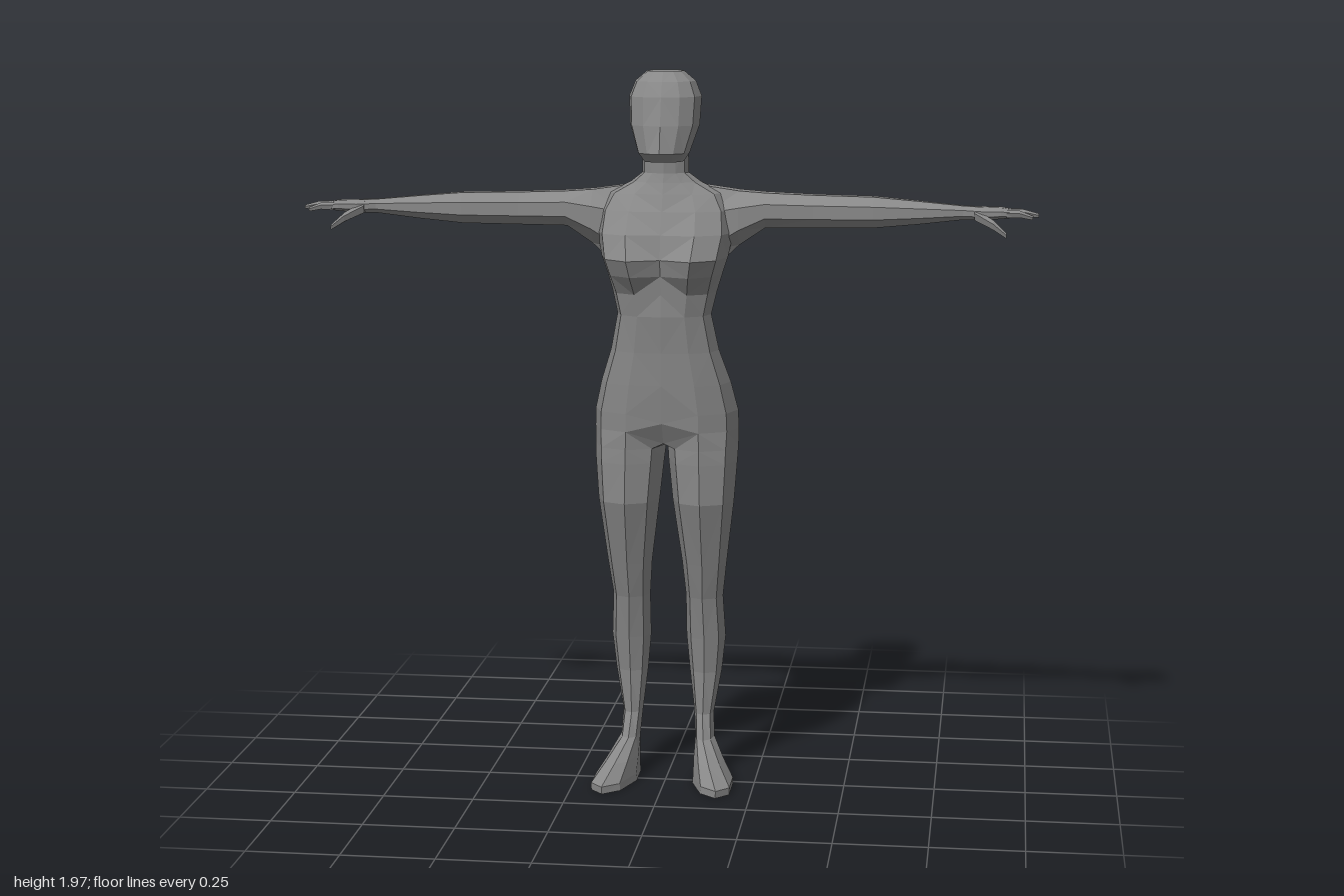
import * as THREE from 'three';

const material = new THREE.MeshStandardMaterial({ color: 0x888888, flatShading: true });

// Skin a list of rings (equal point counts, counter-clockwise about the loft direction)
function loft(name, rings, capStart = true, capEnd = true) {
  const n = rings[0].length, last = rings.length - 1;
  const pos = rings.flat(2), index = [];
  const span = (p, q) => Math.hypot(...[0, 1, 2].map(d => pos[p * 3 + d] - pos[q * 3 + d]));
  for (let i = 0; i < last; i++) for (let j = 0; j < n; j++) {
    const a = i * n + j, b = i * n + (j + 1) % n, c = b + n, d = a + n;
    // split along the shorter diagonal, so both body halves match
    index.push(...(span(a, c) < span(b, d) ? [a, b, c, a, c, d] : [a, b, d, b, c, d]));
  }
  const cap = (r, flip) => {
    const c = pos.length / 3;
    for (let d = 0; d < 3; d++) pos.push(rings[r].reduce((s, p) => s + p[d], 0) / n);
    for (let j = 0; j < n; j++) {
      const p = r * n + j, q = r * n + (j + 1) % n;
      index.push(...(flip ? [q, p, c] : [p, q, c]));
    }
  };
  if (capStart) cap(0, true);
  if (capEnd) cap(last, false);
  const g = new THREE.BufferGeometry();
  g.setAttribute('position', new THREE.Float32BufferAttribute(pos, 3));
  g.setIndex(index);
  g.computeVertexNormals();
  const mesh = new THREE.Mesh(g, material);
  mesh.name = name;
  return mesh;
}

const mirror = rings => rings.map(r => r.map(([x, y, z]) => [-x, y, z]).reverse());

// Left half of a body section, from front centre round to back centre.
// The centre points can hang lower by "drop", as at the crotch.
function half([y, w, frontMid, front, back, backMid, drop = 0]) {
  const m = (frontMid + backMid) / 2;
  return [
    [0, y - drop, frontMid], [0.5 * w, y, front], [0.87 * w, y, m + (front - m) * 0.66], [w, y, m],
    [0.9 * w, y, m + (back - m) * 0.65], [0.52 * w, y, back], [0, y - drop, backMid],
  ];
}
const whole = s => {
  const h = half(s);
  return [...h, ...h.slice(1, 6).reverse().map(([x, y, z]) => [-x, y, z])];
};

// Sections: y, half width, front centre, front bulge, back bulge, back centre, drop
const torso = [
  [1.0, 0.199, 0.05, 0.082, -0.165, -0.125, 0.035],
  [1.05, 0.197, 0.083, 0.085, -0.172, -0.152, 0.025],
  [1.13, 0.178, 0.095, 0.09, -0.14, -0.13],
  [1.22, 0.148, 0.1, 0.095, -0.09, -0.085],
  [1.32, 0.128, 0.112, 0.105, -0.07, -0.065],
  [1.38, 0.142, 0.11, 0.112, -0.085, -0.08],
  [1.43, 0.157, 0.116, 0.152, -0.1, -0.09],
  [1.475, 0.172, 0.128, 0.17, -0.105, -0.095],
  [1.54, 0.185, 0.112, 0.125, -0.11, -0.1],
  [1.6, 0.18, 0.085, 0.082, -0.11, -0.1],
  [1.645, 0.155, 0.065, 0.05, -0.1, -0.09],
  [1.675, 0.095, 0.052, 0.04, -0.08, -0.085],
  [1.7, 0.063, 0.045, 0.036, -0.052, -0.06],
  [1.78, 0.062, 0.047, 0.038, -0.045, -0.05],
];
const head = [
  [1.733, 0.054, 0.098, 0.088, -0.02, -0.025],
  [1.757, 0.07, 0.135, 0.118, -0.055, -0.062],
  [1.83, 0.094, 0.118, 0.104, -0.088, -0.096],
  [1.905, 0.098, 0.097, 0.088, -0.095, -0.102],
  [1.945, 0.082, 0.074, 0.068, -0.078, -0.085],
  [1.972, 0.05, 0.047, 0.042, -0.052, -0.057],
];

// Leg sections: y, outer x, inner x, front z, back z, outward turn of the foot
const leg = [
  [0, 0.192, 0.078, 0.16, -0.115, 0.022],
  [0.02, 0.192, 0.08, 0.16, -0.115, 0.022],
  [0.065, 0.162, 0.078, 0.09, -0.113, 0.012],
  [0.115, 0.132, 0.078, 0, -0.112, 0],
  [0.18, 0.128, 0.073, -0.035, -0.115, 0],
  [0.3, 0.149, 0.059, -0.037, -0.132, 0],
  [0.4, 0.16, 0.05, -0.022, -0.14, 0],
  [0.52, 0.154, 0.05, 0, -0.125, 0],
  [0.62, 0.166, 0.042, 0.028, -0.107, 0],
  [0.8, 0.188, 0.018, 0.083, -0.118, 0],
  [0.91, 0.196, 0.006, 0.083, -0.132, 0],
  [0.95, 0.198, 0.002, 0.082, -0.153, 0],
];
const legOutline = [[-0.7, 0.72], [0, 1], [0.72, 0.72], [1, 0], [0.75, -0.72], [0, -1], [-0.7, -0.72], [-1, 0]];
const legRings = leg.map(([y, out, inn, f, b, turn]) => legOutline.map(([u, v]) => [
  (out + inn) / 2 + u * (out - inn) / 2 + turn * v, y, (f + b) / 2 + v * (f - b) / 2,
]));
// The top of the leg meets the hip line, with the crotch at the centre
legRings.push([...half(torso[0]), [0, 0.955, -0.03]]);

// Arm and palm sections: x, top y, bottom y, front z, back z
const arm = [
  [0.11, 1.664, 1.42, 0.03, -0.1],
  [0.2, 1.651, 1.505, 0.035, -0.107],
  [0.27, 1.646, 1.552, 0.03, -0.097],
  [0.4, 1.641, 1.553, 0.02, -0.086],
  [0.56, 1.638, 1.555, 0.02, -0.08],
  [0.68, 1.628, 1.566, 0.01, -0.065],
  [0.8, 1.617, 1.58, 0.002, -0.047],
  [0.85, 1.615, 1.58, 0.016, -0.056],
  [0.9, 1.614, 1.584, 0.02, -0.066],
  [0.93, 1.609, 1.587, 0.016, -0.064],
];
const armRings = arm.map(([x, t, b, f, k]) => Array.from({ length: 8 }, (_, j) => {
  const a = (j + 0.5) * Math.PI / 4;
  return [x, (t + b) / 2 + Math.cos(a) * 1.08 * (t - b) / 2, (f + k) / 2 + Math.sin(a) * 1.08 * (f - k) / 2];
}));

// Finger joints: centre x, y, z and radius
const fingers = {
  Thumb: [[0.83, 1.595, 0, 0.017], [0.88, 1.57, 0.026, 0.014], [0.916, 1.543, 0.038, 0.008]],
  IndexFinger: [[0.915, 1.598, 0.008, 0.012], [0.95, 1.598, 0.008, 0.01], [0.985, 1.588, 0.005, 0.006]],
  MiddleFinger: [[0.915, 1.599, -0.014, 0.012], [0.96, 1.6, -0.014, 0.01], [1, 1.593, -0.014, 0.006]],
  RingFinger: [[0.915, 1.598, -0.036, 0.012], [0.955, 1.599, -0.037, 0.01], [0.99, 1.591, -0.036, 0.006]],
  LittleFinger: [[0.915, 1.597, -0.056, 0.01], [0.94, 1.597, -0.058, 0.009], [0.968, 1.591, -0.06, 0.006]],
};
const fingerRings = joints => joints.map(([x, y, z, r]) => Array.from({ length: 5 }, (_, j) => {
  const a = j * Math.PI * 2 / 5;
  return [x, y + r * Math.cos(a), z + r * Math.sin(a)];
}));

export function createModel() {
  const group = new THREE.Group();
  group.name = 'figure';
  group.add(loft('torsoAndNeck', torso.map(whole), false), loft('head', head.map(whole)));
  for (const side of ['left', 'right']) {
    const place = rings => (side === 'left' ? rings : mirror(rings));
    group.add(loft(side + 'Leg', place(legRings), true, false));
    group.add(loft(side + 'Arm', place(armRings)));
    for (const [name, joints] of Object.entries(fingers)) {
      group.add(loft(side + name, place(fingerRings(joints))));
    }
  }
  return group;
}
